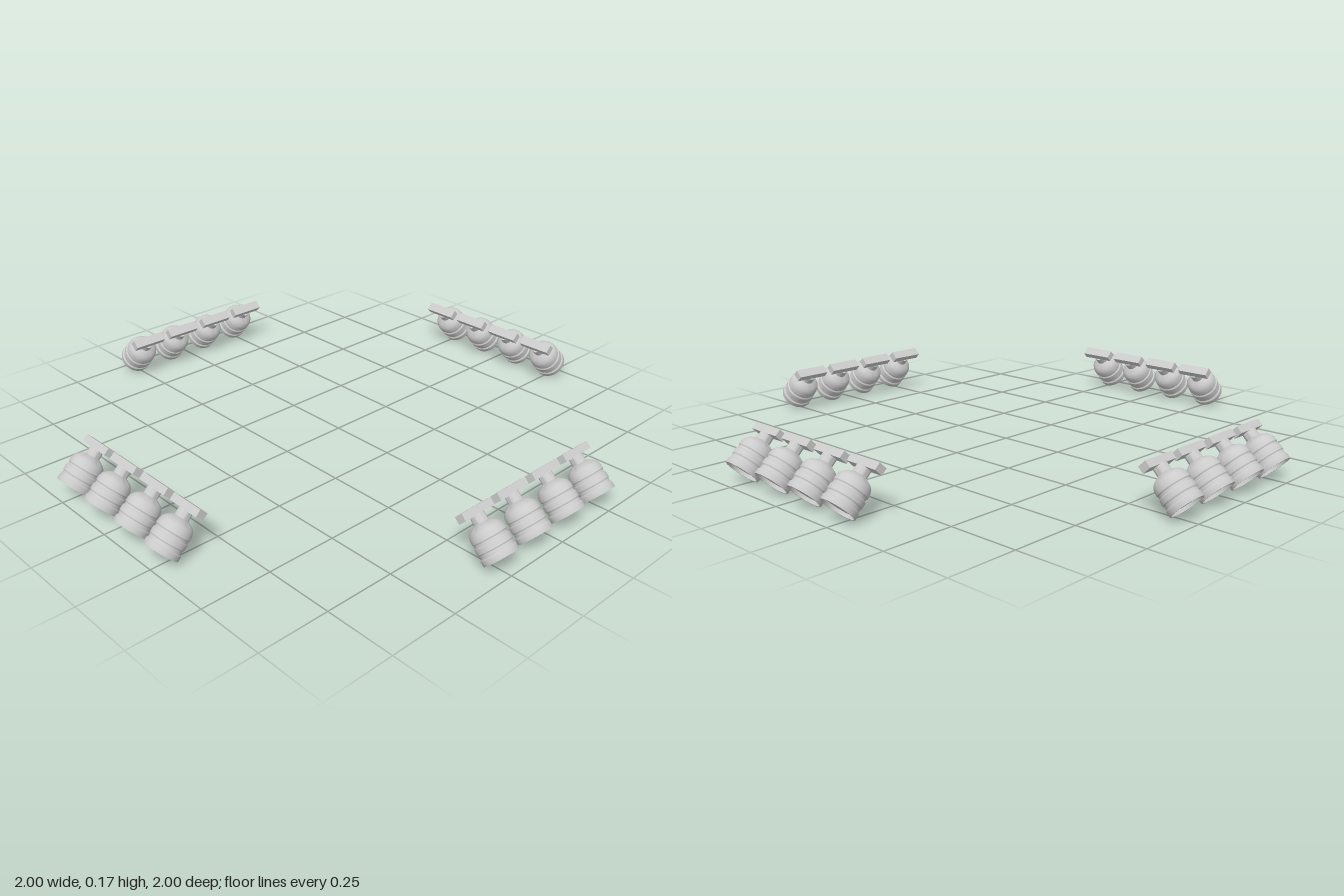
import * as THREE from 'three';
import { toCreasedNormals } from 'three/addons/utils/BufferGeometryUtils.js';

const material = new THREE.MeshStandardMaterial({ color: 0xcccccc });

// Lamp housing, turned around y: mouth at y = 0, neck at the top
function housingGeometry() {
  const profile = [
    [0, 0.012], [0.052, 0.012], [0.055, 0],                       // recessed lens
    [0.059, 0], [0.06, 0.004], [0.06, 0.018], [0.056, 0.023],     // rim
    [0.056, 0.034], [0.059, 0.038], [0.059, 0.055],               // middle band
    [0.055, 0.06], [0.055, 0.067], [0.058, 0.071],                // groove
    [0.057, 0.085], [0.053, 0.097], [0.044, 0.107], [0.03, 0.115], // shoulder
    [0.024, 0.118], [0.024, 0.146],                               // neck
  ].map(([r, y]) => new THREE.Vector2(r, y));
  return toCreasedNormals(new THREE.LatheGeometry(profile, 28), 0.5);
}

const housing = housingGeometry();
const bar = new THREE.BoxGeometry(0.131, 0.026, 0.034);

function createLamp() {
  const lamp = new THREE.Group();
  lamp.name = 'spotlight';
  const body = new THREE.Mesh(housing, material);
  body.name = 'lampHousing';
  const mount = new THREE.Mesh(bar, material);
  mount.name = 'mountingBar';
  mount.position.y = 0.156;
  lamp.add(body, mount);
  return lamp;
}

export function createModel() {
  const model = new THREE.Group();
  model.name = 'spotlightArray';
  // Four rows facing outwards, each with four lamps tilted down by 45 degrees
  ['frontRow', 'leftRow', 'backRow', 'rightRow'].forEach((name, i) => {
    const row = new THREE.Group();
    row.name = name;
    for (const x of [-0.247, -0.084, 0.084, 0.247]) {
      const lamp = createLamp();
      lamp.position.set(x, 0.0425, 0.957);
      lamp.rotation.x = -Math.PI / 4;
      row.add(lamp);
    }
    row.rotation.y = (i * Math.PI) / 2;
    model.add(row);
  });
  return model;
}
